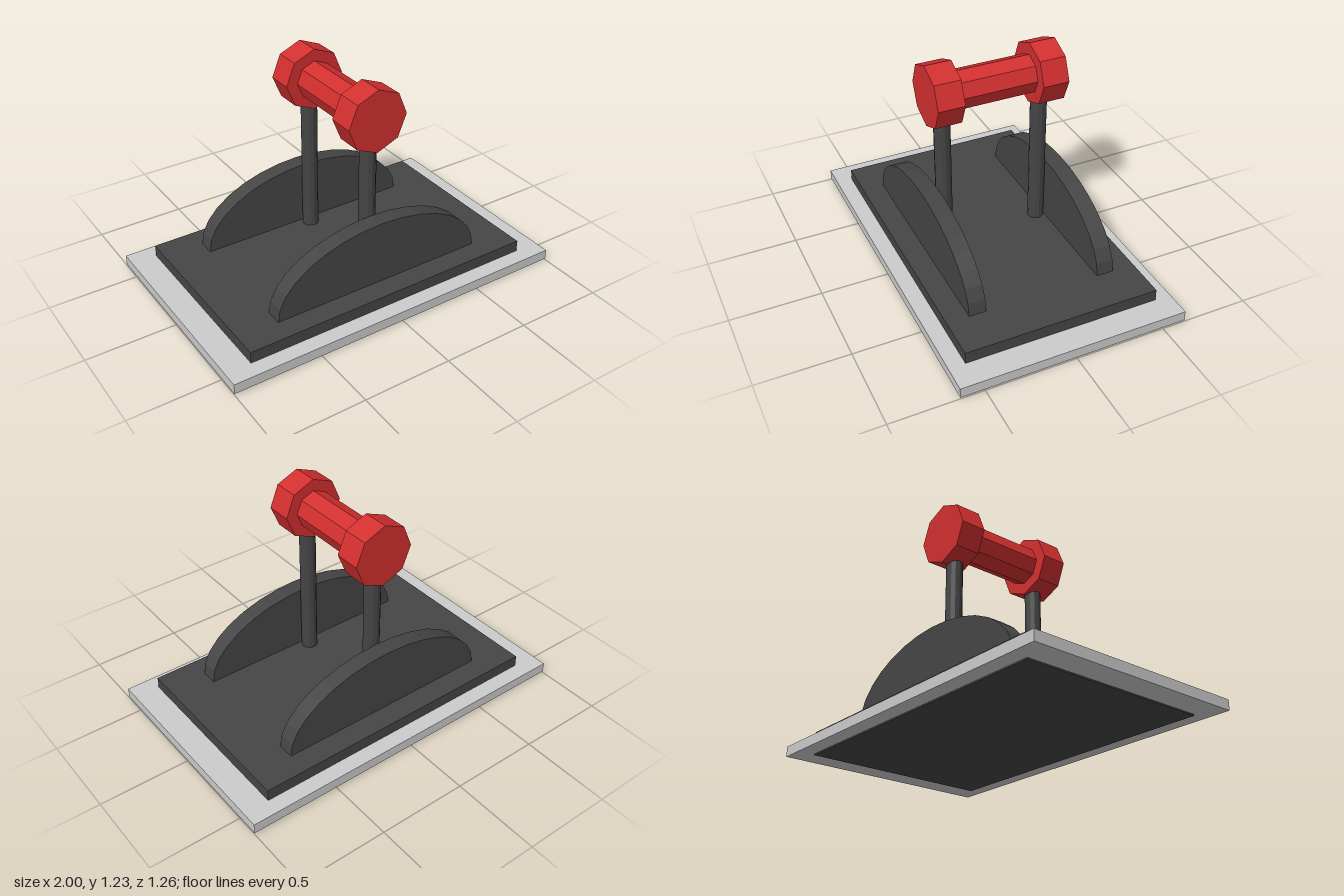
import * as THREE from 'three';

const grey = new THREE.MeshStandardMaterial({ color: 0xcccccc, flatShading: true });
const dark = new THREE.MeshStandardMaterial({ color: 0x454545, flatShading: true });
const red = new THREE.MeshStandardMaterial({ color: 0xd32f2f, flatShading: true });

export function createModel() {
  const group = new THREE.Group();

  const add = (name, geometry, material, x, y, z) => {
    const mesh = new THREE.Mesh(geometry, material);
    mesh.name = name;
    mesh.position.set(x, y, z);
    group.add(mesh);
    return mesh;
  };

  // Octagonal prism lying along z, with a corner pointing up
  const octagon = (radius, length) =>
    new THREE.CylinderGeometry(radius, radius, length, 8).rotateX(Math.PI / 2);

  // Stepped base: the dark plinth passes through the grey plate
  add('basePlate', new THREE.BoxGeometry(2, 0.057, 1.26), grey, 0, 0.036, 0);
  add('plinth', new THREE.BoxGeometry(1.714, 0.13, 1.08), dark, 0, 0.065, 0);

  // Half-ellipse outline of the side guards
  const outline = new THREE.Shape();
  const steps = 16;
  for (let i = 0; i <= steps; i++) {
    const a = (i / steps) * Math.PI;
    const x = 0.628 * Math.cos(a), y = 0.361 * Math.sin(a);
    if (i === 0) outline.moveTo(x, y);
    else outline.lineTo(x, y);
  }
  outline.closePath();
  const guardDepth = 0.095;
  const guard = new THREE.ExtrudeGeometry(outline, { depth: guardDepth, bevelEnabled: false })
    .translate(0, 0, -guardDepth / 2);

  // Guard, post and handle knob at each end
  for (const [end, side] of [['front', 1], ['back', -1]]) {
    const shift = 0.004; // the lever assembly sits slightly forward
    add(end + 'Guard', guard, dark, 0, 0.13, side * 0.368 + 0.002);
    add(end + 'Post', new THREE.CylinderGeometry(0.045, 0.045, 0.87, 12), dark, 0, 0.535, side * 0.278 + shift);
    add(end + 'Knob', octagon(0.173, 0.146), red, 0, 1.058, side * 0.289 + shift);
  }

  // Grip bar between the knobs
  add('gripBar', octagon(0.107, 0.5), red, 0, 1.058, 0.004);

  return group;
}
